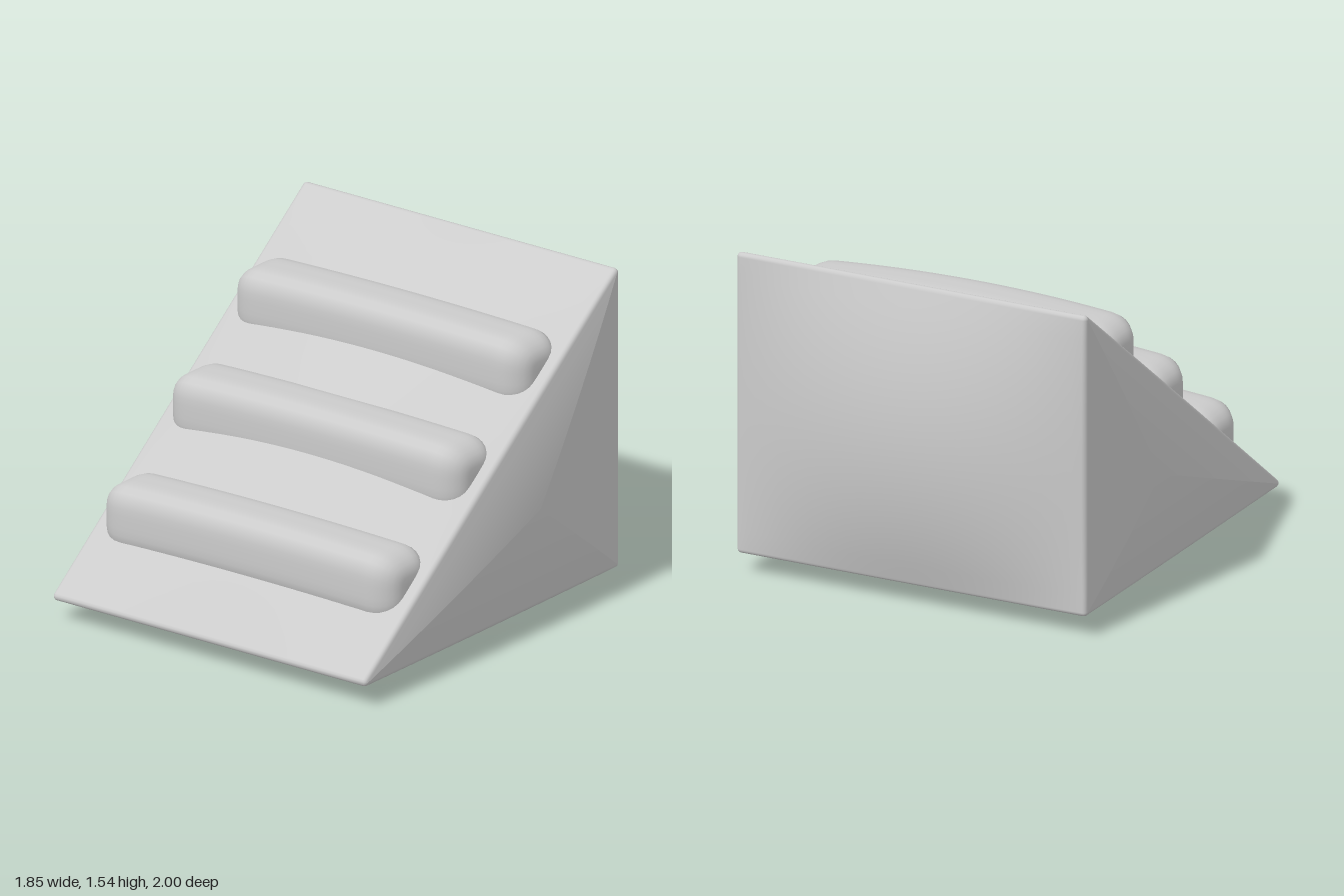
import * as THREE from 'three';

const material = new THREE.MeshStandardMaterial({ color: 0xcccccc });

// Skin a list of closed rings (arrays of [x, y, z]) running towards +x
function loft(rings) {
  const n = rings[0].length, index = [];
  for (let i = 0; i < rings.length - 1; i++) {
    for (let j = 0; j < n; j++) {
      const k = (j + 1) % n;
      const a = i * n + j, b = i * n + k, c = a + n, d = b + n;
      index.push(a, b, c, b, d, c);
    }
  }
  const geometry = new THREE.BufferGeometry();
  geometry.setAttribute('position', new THREE.Float32BufferAttribute(rings.flat(2), 3));
  geometry.setIndex(index);
  geometry.computeVertexNormals();
  return geometry;
}

// Mirror a list of stations for the +x half so it covers both sides
const mirrorStations = (half) => [
  ...half.slice().reverse().map((s) => ({ ...s, x: -s.x })), ...half,
];

// Triangular wedge: rounded corners, every face swelling towards its middle
function wedgeGeometry() {
  const width = 0.885, r = 0.02, slope = 0.652;
  const corners = [ // arc centre, arc angles, swelling of the face that follows
    { y: 0.125, z: 0.98, from: slope, to: Math.PI, swell: 0.1 },
    { y: 0.125, z: -0.855, from: Math.PI, to: 1.5 * Math.PI, swell: 0.125 },
    { y: 1.525, z: -0.855, from: 1.5 * Math.PI, to: slope + 2 * Math.PI, swell: 0.1 },
  ];
  const middle = { y: 0.59, z: -0.24 };

  const ring = ({ x, radius, scale }) => {
    const points = [], bulge = Math.max(0, 1 - (x / width) ** 2);
    const add = (y, z) => points.push([
      x, middle.y + (y - middle.y) * scale, middle.z + (z - middle.z) * scale,
    ]);
    corners.forEach((c, i) => {
      const next = corners[(i + 1) % 3];
      for (let s = 0; s <= 4; s++) {
        const a = THREE.MathUtils.lerp(c.from, c.to, s / 4);
        add(c.y + radius * Math.cos(a), c.z + radius * Math.sin(a));
      }
      for (let s = 1; s < 16; s++) {
        const t = s / 16, out = radius + c.swell * bulge * 4 * t * (1 - t);
        add(THREE.MathUtils.lerp(c.y, next.y, t) + out * Math.cos(c.to),
          THREE.MathUtils.lerp(c.z, next.z, t) + out * Math.sin(c.to));
      }
    });
    return points;
  };

  const half = [];
  for (let i = 0; i < 10; i++) half.push({ x: (width - r) * (i + 0.5) / 10, radius: r, scale: 1 });
  for (let i = 0; i <= 4; i++) { // rounded rim
    const a = i * Math.PI / 8;
    half.push({ x: width - r + r * Math.sin(a), radius: r * Math.cos(a), scale: 1 });
  }
  for (let i = 1; i <= 8; i++) { // domed side
    const k = 1 - i / 8;
    half.push({ x: width + 0.04 * (1 - k * k), radius: 0, scale: k });
  }
  return loft(mirrorStations(half).map(ring));
}

// Soft square bar with rounded ends, bowed outwards in the middle
function barGeometry() {
  const size = 0.16, sides = 32;
  const ring = ({ x, scale }) => {
    const bow = 0.03 * (1 - (x / 0.825) ** 2) - 0.03;
    return Array.from({ length: sides }, (_, j) => {
      const a = j / sides * 2 * Math.PI, c = Math.cos(a), s = Math.sin(a);
      const d = size * scale / (c ** 4 + s ** 4) ** 0.25;
      return [x, d * c + bow, d * s + bow];
    });
  };
  const half = [];
  for (let i = 0; i < 8; i++) half.push({ x: 0.7 * (i + 0.5) / 8, scale: 1 });
  for (let i = 0; i <= 6; i++) { // rounded end
    const a = i * Math.PI / 12;
    half.push({ x: 0.7 + 0.125 * Math.sin(a), scale: 0.4 + 0.6 * Math.cos(a) });
  }
  half.push({ x: 0.826, scale: 0.2 }, { x: 0.826, scale: 0 });
  return loft(mirrorStations(half).map(ring));
}

export function createModel() {
  const model = new THREE.Group();
  model.name = 'ribbedWedge';

  const wedge = new THREE.Mesh(wedgeGeometry(), material);
  wedge.name = 'wedgeBody';
  model.add(wedge);

  // Three bars climbing the slope
  const bar = barGeometry();
  [[0.47, 0.615], [0.845, 0.125], [1.205, -0.35]].forEach(([y, z], i) => {
    const mesh = new THREE.Mesh(bar, material);
    mesh.name = `slopeBar${i + 1}`;
    mesh.position.set(0, y, z);
    model.add(mesh);
  });
  return model;
}
